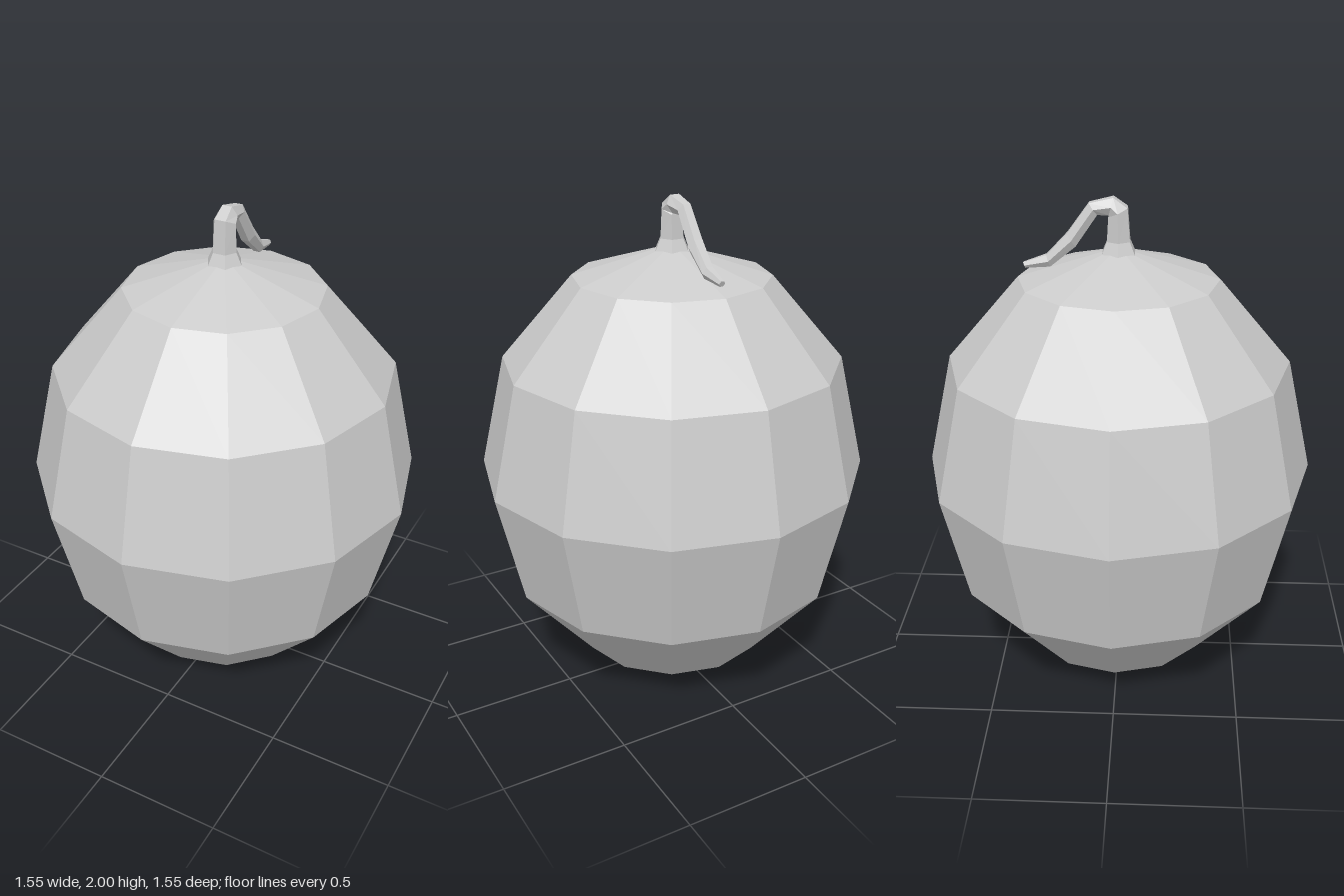
import * as THREE from 'three';

const material = new THREE.MeshStandardMaterial({ color: 0xcccccc, flatShading: true, roughness: 0.8 });

// Six-sided stem through rings of [z, y, tilt in degrees, radius], bending toward -z
function stemGeometry(rings, sides = 6) {
  const points = rings.map(([z, y, tilt, r]) => {
    const t = THREE.MathUtils.degToRad(tilt);
    return Array.from({ length: sides }, (_, j) => {
      const a = (j / sides) * Math.PI * 2;
      const n = r * Math.sin(a);
      return new THREE.Vector3(r * Math.cos(a), y + n * Math.sin(t), z + n * Math.cos(t));
    });
  });
  const tris = [];
  for (let i = 0; i < rings.length - 1; i++) {
    for (let j = 0; j < sides; j++) {
      const k = (j + 1) % sides;
      const [a, b, c, d] = [points[i][j], points[i + 1][j], points[i][k], points[i + 1][k]];
      tris.push(a, b, c, c, b, d);
    }
  }
  // closed tip
  const end = points[points.length - 1];
  for (let j = 1; j < sides - 1; j++) tris.push(end[0], end[j + 1], end[j]);
  const geometry = new THREE.BufferGeometry().setFromPoints(tris);
  geometry.computeVertexNormals();
  return geometry;
}

export function createModel() {
  const group = new THREE.Group();
  group.name = 'fruit';

  // Faceted, slightly tall body
  const body = new THREE.Mesh(new THREE.SphereGeometry(1, 12, 6), material);
  body.name = 'body';
  body.scale.set(0.777, 0.905, 0.777);
  body.position.y = 0.905;
  group.add(body);

  // Flared base, upright neck, then a drooping, tapering tail
  const stem = new THREE.Mesh(stemGeometry([
    [0, 1.785, 0, 0.073],
    [0, 1.835, 0, 0.05],
    [-0.002, 1.945, 25, 0.046],
    [-0.028, 1.967, 75, 0.039],
    [-0.095, 1.956, 125, 0.031],
    [-0.178, 1.838, 122, 0.034],
    [-0.267, 1.756, 108, 0.027],
    [-0.36, 1.736, 112, 0.013],
  ]), material);
  stem.name = 'stem';
  group.add(stem);

  return group;
}
